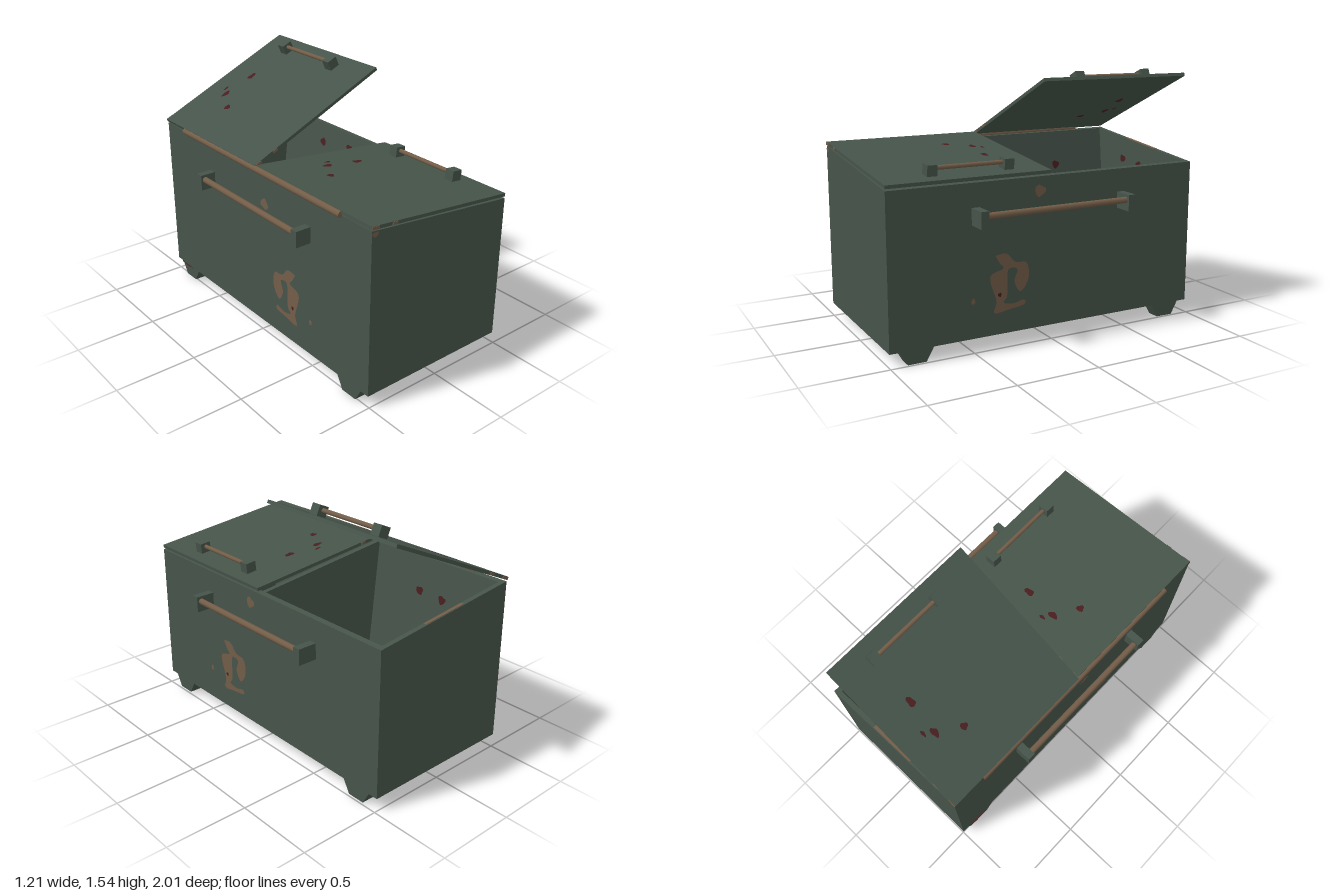
import * as THREE from 'three';

const DS = THREE.DoubleSide;
const paint = new THREE.MeshStandardMaterial({ color: 0x46544a });
const rust = new THREE.MeshStandardMaterial({ color: 0x735d48, side: DS });
const stain = new THREE.MeshStandardMaterial({ color: 0x4a1e20, side: DS });
paint.name = 'greenPaint';
rust.name = 'rust';
stain.name = 'darkRedStain';

const BACK = -0.51, FRONT = 0.485, BASE = 0.08, BACK_TOP = 1.08, FRONT_TOP = 0.972;
const SLOPE = Math.atan2(FRONT_TOP - BACK_TOP, FRONT - BACK);
const rimY = (x) => BACK_TOP + (x - BACK) * Math.tan(SLOPE);

function add(parent, name, geometry, material, x = 0, y = 0, z = 0) {
  const mesh = new THREE.Mesh(geometry, material);
  mesh.name = name;
  mesh.position.set(x, y, z);
  parent.add(mesh);
  return mesh;
}

function box(parent, name, x0, x1, y0, y1, z0, z1, material = paint) {
  const g = new THREE.BoxGeometry(x1 - x0, y1 - y0, z1 - z0);
  return add(parent, name, g, material, (x0 + x1) / 2, (y0 + y1) / 2, (z0 + z1) / 2);
}

// Round bar running along z
function bar(parent, name, radius, x, y, z0, z1) {
  const g = new THREE.CylinderGeometry(radius, radius, z1 - z0, 10).rotateX(Math.PI / 2);
  return add(parent, name, g, rust, x, y, (z0 + z1) / 2);
}

// Outline in x, y extruded from z0 to z1
function slab(parent, name, points, z0, z1) {
  const shape = new THREE.Shape(points.map((p) => new THREE.Vector2(...p)));
  const g = new THREE.ExtrudeGeometry(shape, { depth: z1 - z0, bevelEnabled: false });
  return add(parent, name, g, paint, 0, 0, z0);
}

// Flat smooth-edged patch in its own x, y plane
function patch(parent, name, points, material) {
  const v = points.map((p) => new THREE.Vector2(...p));
  const shape = new THREE.Shape();
  shape.moveTo(v[0].x, v[0].y);
  shape.splineThru([...v.slice(1), v[0]]);
  return add(parent, name, new THREE.ShapeGeometry(shape, 3), material);
}

// Small irregular blotch
function spot(parent, name, material, rx, ry, x, y, z) {
  const points = [];
  for (let i = 0; i < 9; i++) {
    const a = (i / 9) * Math.PI * 2;
    const k = 1 + 0.18 * Math.sin(i * 2.3 + x * 20 + z * 9);
    points.push([Math.cos(a) * rx * k, Math.sin(a) * ry * k]);
  }
  const mesh = patch(parent, name, points, material);
  mesh.position.set(x, y, z);
  return mesh;
}

function buildBody(root) {
  const body = new THREE.Group();
  body.name = 'body';
  root.add(body);
  const outer = [[BACK, BASE], [FRONT, BASE], [FRONT, FRONT_TOP], [BACK, BACK_TOP]];
  const ib = BACK + 0.035, jf = FRONT - 0.035;
  // Hollow trough with walls that thicken downwards
  const trough = [...outer.slice(0, 3), [jf, rimY(jf)], [jf - 0.1, 0.12], [ib + 0.1, 0.12], [ib, rimY(ib)], outer[3]];
  for (const [z0, z1] of [[-0.97, -0.03], [0, 0.97]]) slab(body, 'trough', trough, z0, z1);
  slab(body, 'rearEndWall', outer, -1, -0.97);
  slab(body, 'divider', outer, -0.03, 0);
  slab(body, 'frontEndWall', outer, 0.97, 1);

  // Tapered feet
  for (const x of [BACK, FRONT - 0.078])
    for (const z of [-0.838, 0.84]) {
      const foot = slab(body, 'foot', [[-0.1, BASE], [-0.055, 0], [0.055, 0], [0.1, BASE]], 0, 0.078);
      foot.rotation.y = Math.PI / 2;
      foot.position.set(x, 0, z);
    }

  // Lifting handles on both long sides
  for (const [x0, x1, y, barX] of [[FRONT, 0.605, 0.735, 0.575], [-0.608, BACK, 0.812, -0.58]]) {
    for (const z of [-0.48, 0.48]) box(body, 'sideHandleBracket', x0, x1, y, y + 0.098, z - 0.024, z + 0.024);
    bar(body, 'sideHandleBar', 0.019, barX, y + 0.065, -0.47, 0.47);
  }
  bar(body, 'hingeRod', 0.02, -0.514, 1.085, -0.78, 0.765);

  // Rust on the long sides, outlined in z, y
  const flake = [[0.36, 0.545], [0.29, 0.55], [0.235, 0.495], [0.16, 0.48], [0.148, 0.385], [0.2, 0.315],
    [0.24, 0.38], [0.22, 0.45], [0.275, 0.46], [0.285, 0.41], [0.285, 0.305], [0.31, 0.265], [0.245, 0.25],
    [0.18, 0.265], [0.175, 0.235], [0.27, 0.22], [0.37, 0.21], [0.355, 0.28], [0.39, 0.385], [0.385, 0.44],
    [0.31, 0.465], [0.335, 0.5]];
  for (const x of [FRONT + 0.003, BACK - 0.003]) {
    const mesh = patch(body, 'rustPatch', flake, rust);
    mesh.position.x = x;
    mesh.rotation.y = -Math.PI / 2;
    for (const [z, y, rx, ry] of [[0.075, 0.89, 0.036, 0.032], [0.5, 0.3, 0.012, 0.018]])
      spot(body, 'rustSpot', rust, rx, ry, x, y, z).rotation.y = -Math.PI / 2;
    spot(body, 'stainSpot', stain, 0.011, 0.012, x + Math.sign(x) * 0.002, 0.315, 0.335).rotation.y = -Math.PI / 2;
  }
  spot(body, 'cornerRust', rust, 0.022, 0.014, -0.487, 1.058, 1.002);
  const rim = box(body, 'rimRust', -0.15, 0.15, -0.002, 0.002, -0.995, -0.975, rust);
  rim.position.set(0, rimY(0) + 0.001, -0.985);
  rim.rotation.z = SLOPE;

  // Stains inside the open bay
  for (const [x, y] of [[0, 0.88], [-0.27, 0.77], [-0.18, 0.9]])
    spot(body, 'innerStain', stain, 0.03, 0.024, x, y, -0.966);
  const lean = Math.atan2(0.1, 0.9);
  for (const [side, z, y] of [[-1, -0.41, 0.86], [-1, -0.59, 0.85], [1, -0.56, 0.85], [1, -0.29, 0.88]]) {
    const wall = side < 0 ? ib : jf;
    const x = wall - side * ((rimY(wall) - y) * 0.1 / (rimY(wall) - 0.12) + 0.006);
    spot(body, 'innerStain', stain, 0.028, 0.026, x, y, z).rotation.set(0, -Math.PI / 2, -side * lean, 'ZYX');
  }

  // Spill on the underside, outlined in x, z
  const spill = patch(body, 'undersideStain', [[-0.27, -0.98], [-0.5, -0.98], [-0.5, -0.74], [-0.42, -0.72],
    [-0.36, -0.57], [-0.38, -0.37], [-0.31, -0.31], [-0.3, -0.5], [-0.25, -0.62], [-0.29, -0.78]], stain);
  spill.rotation.x = Math.PI / 2;
  spill.position.y = BASE - 0.003;
  spot(body, 'undersideSpot', stain, 0.015, 0.015, 0.05, BASE - 0.003, -0.4).rotation.x = Math.PI / 2;
}

// Lid hinged along its x = 0 edge, one unit square
function buildLid(root, name, z, angle) {
  const lid = new THREE.Group();
  lid.name = name;
  lid.position.set(-0.512, 1.087, z);
  lid.rotation.z = angle;
  root.add(lid);
  box(lid, 'lidPanel', 0, 1.002, 0, 0.02, 0, 1);
  for (const hz of [0.23, 0.7]) box(lid, 'lidHandleBracket', 0.855, 0.923, 0.02, 0.083, hz - 0.03, hz + 0.03);
  bar(lid, 'lidHandleBar', 0.013, 0.888, 0.058, 0.24, 0.69);
  const spots = [[0.41, 0.145, 0.022, 0.009], [0.37, 0.195, 0.032, 0.018], [0.58, 0.215, 0.032, 0.02], [0.28, 0.335, 0.021, 0.022]];
  for (const [x, sz, rx, rz] of spots)
    for (const y of [0.023, -0.003]) spot(lid, 'lidStain', stain, rx, rz, x, y, sz).rotation.x = Math.PI / 2;
  for (const ez of [-0.002, 1.002]) {
    box(lid, 'edgeRust', 0, 0.05, 0.001, 0.019, ez - 0.002, ez + 0.002, rust);
    box(lid, 'edgeRust', 0.14, 0.175, 0.003, 0.018, ez - 0.002, ez + 0.002, rust);
  }
}

export function createModel() {
  const root = new THREE.Group();
  root.name = 'wasteContainer';
  buildBody(root);
  buildLid(root, 'closedLid', 0, -0.104);
  buildLid(root, 'openLid', -1, 0.42);
  return root;
}
